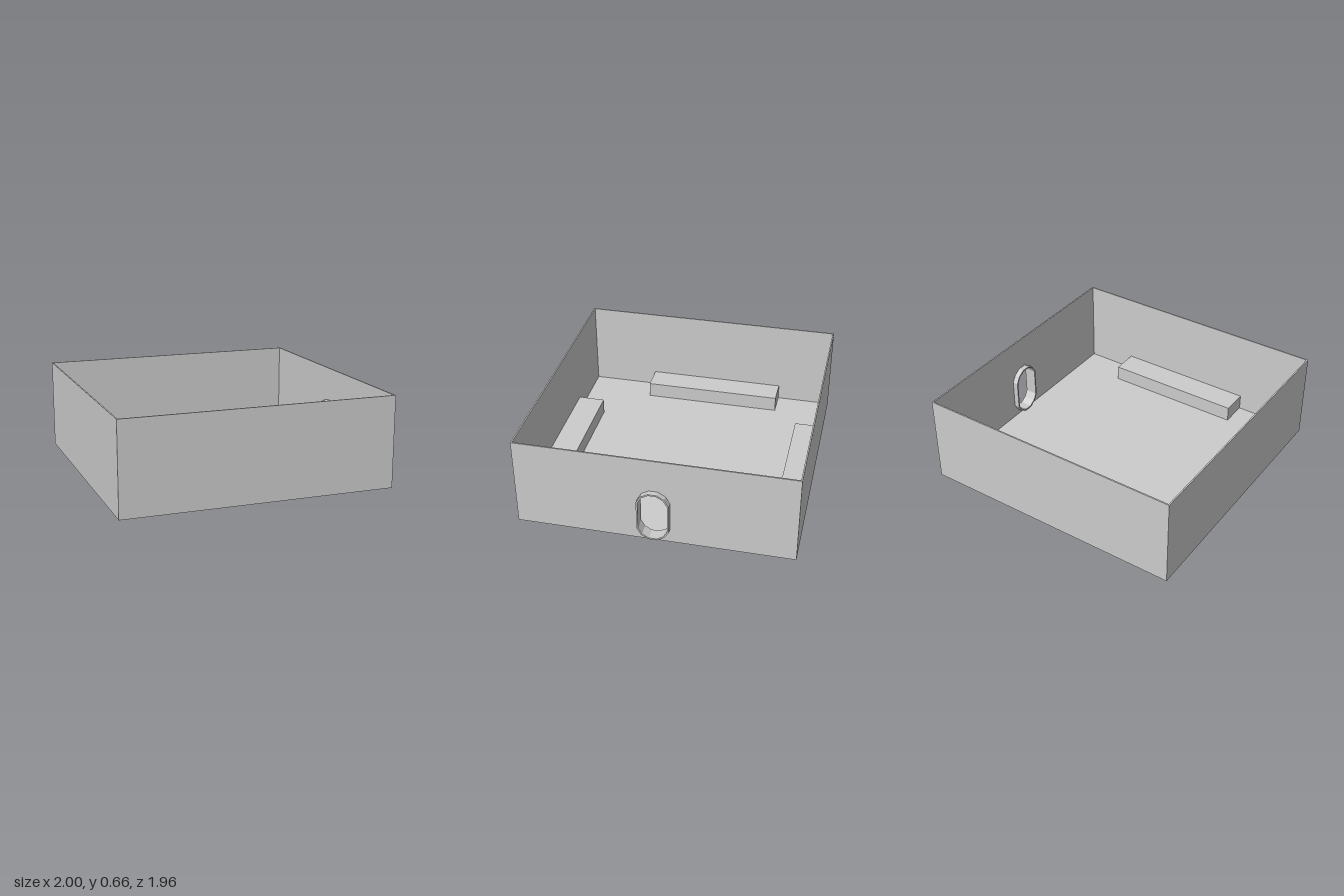
import * as THREE from 'three';

const material = new THREE.MeshStandardMaterial({ color: 0xcccccc, flatShading: true });
const X0 = -1, X1 = 0.96, Z = 0.98, H = 0.66, T = 0.01; // tray bounds and wall thickness

function add(group, name, geometry) {
  const mesh = new THREE.Mesh(geometry, material);
  mesh.name = name;
  group.add(mesh);
}

// Box given by its minimum and maximum corners
function addBox(group, name, [x0, y0, z0], [x1, y1, z1]) {
  const geometry = new THREE.BoxGeometry(x1 - x0, y1 - y0, z1 - z0);
  geometry.translate((x0 + x1) / 2, (y0 + y1) / 2, (z0 + z1) / 2);
  add(group, name, geometry);
}

// Upright slot outline: a twelve-sided circle stretched between two centres
function slotPoints(halfWidth) {
  const r = halfWidth / Math.cos(Math.PI / 12);
  return Array.from({ length: 12 }, (_, i) => {
    const a = (i + 0.5) * Math.PI / 6;
    return new THREE.Vector2(r * Math.cos(a), r * Math.sin(a) + (i < 6 ? 0.3 : 0.142));
  });
}

// Outline with a hole, extruded along x from x0 to x1
function extrudeX(outline, hole, x0, x1) {
  const shape = new THREE.Shape(outline);
  shape.holes.push(new THREE.Path(hole));
  const geometry = new THREE.ExtrudeGeometry(shape, { depth: x1 - x0, bevelEnabled: false });
  return geometry.rotateY(Math.PI / 2).translate(x0, 0, 0);
}

export function createModel() {
  const group = new THREE.Group();
  group.name = 'tray';

  // Floor and plain walls
  addBox(group, 'floor', [X0 + T, 0, -Z + T], [X1 - T, T, Z - T]);
  addBox(group, 'rightWall', [X0, 0, -Z + T], [X0 + T, H, Z - T]);
  addBox(group, 'frontWall', [X0, 0, Z - T], [X1, H, Z]);
  addBox(group, 'backWall', [X0, 0, -Z], [X1, H, -Z + T]);

  // Wall with the slot opening
  const w = Z - T;
  const wallOutline = [[-w, 0], [w, 0], [w, H], [-w, H]].map(p => new THREE.Vector2(...p));
  add(group, 'leftWall', extrudeX(wallOutline, slotPoints(0.113), X1 - T, X1));

  // Collar lining the opening
  add(group, 'slotCollar', extrudeX(slotPoints(0.113), slotPoints(0.102), 0.91, 1));

  // Ledges on the floor against three walls
  const top = 0.125;
  addBox(group, 'frontLedge', [-0.475, T, 0.772], [0.567, top, Z - T]);
  addBox(group, 'backLedge', [-0.475, T, -Z + T], [0.567, top, -0.775]);
  addBox(group, 'rightLedge', [X0 + T, T, -0.573], [-0.795, top, 0.47]);

  return group;
}
